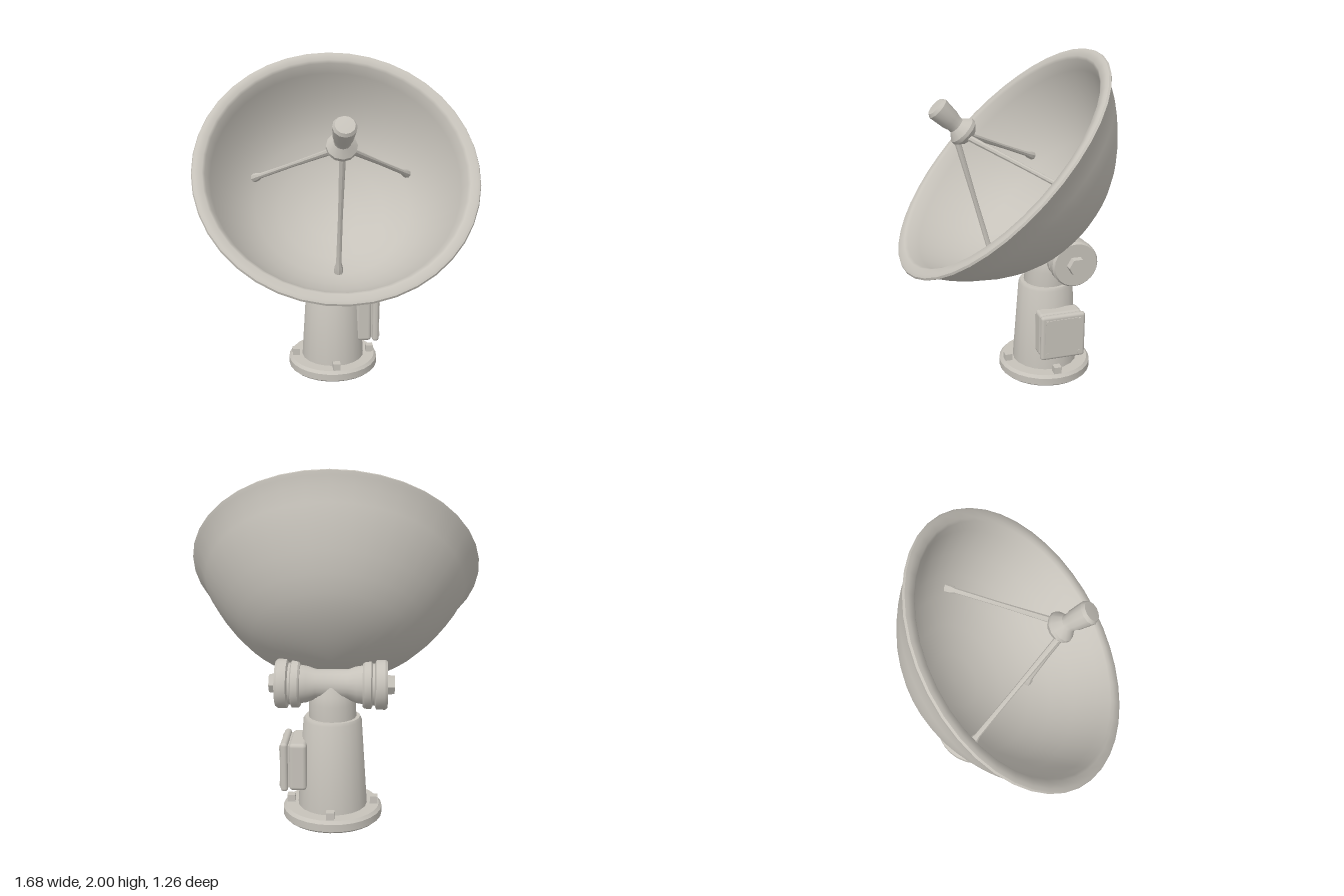
import * as THREE from 'three';
import { toCreasedNormals } from 'three/addons/utils/BufferGeometryUtils.js';
import { RoundedBoxGeometry } from 'three/addons/geometries/RoundedBoxGeometry.js';

const grey = new THREE.MeshStandardMaterial({ color: 0xc6c2ba });
grey.name = 'warm grey paint';

function add(parent, name, geometry, x = 0, y = 0, z = 0) {
  const mesh = new THREE.Mesh(geometry, grey);
  mesh.name = name;
  mesh.position.set(x, y, z);
  parent.add(mesh);
  return mesh;
}

// Profile of [radius, height] pairs spun about y, with sharp edges kept
function turned(profile, sides, crease = 0.6) {
  const points = profile.map(([r, h]) => new THREE.Vector2(r, h));
  return toCreasedNormals(new THREE.LatheGeometry(points, sides), crease);
}

function rod(parent, name, from, to, profile) {
  const dir = to.clone().sub(from);
  const length = dir.length();
  const mesh = add(parent, name, turned(profile.map(([r, t]) => [r, t * length]), 8), ...from);
  mesh.quaternion.setFromUnitVectors(new THREE.Vector3(0, 1, 0), dir.normalize());
  return mesh;
}

export function createModel() {
  const model = new THREE.Group();
  model.name = 'satellite dish';

  // Pedestal
  const pedestal = new THREE.Group();
  pedestal.name = 'pedestal';
  pedestal.position.z = -0.27;
  model.add(pedestal);
  add(pedestal, 'baseFlange', turned([
    [0, 0], [0.275, 0], [0.288, 0.012], [0.288, 0.055], [0.272, 0.072], [0, 0.072],
  ], 28));
  add(pedestal, 'column', turned([
    [0.202, 0.06], [0.168, 0.585], [0.158, 0.602], [0, 0.602],
  ], 20));
  for (let i = 0; i < 4; i++) {
    const a = i * Math.PI / 2;
    add(pedestal, 'baseBolt', new THREE.BoxGeometry(0.046, 0.05, 0.046),
      Math.sin(a) * 0.242, 0.09, Math.cos(a) * 0.242);
  }

  // Neck leans back toward the hinge as it rises
  const neck = turned([[0.137, 0.59], [0.135, 0.69], [0.125, 0.75], [0.1, 0.81], [0, 0.83]], 20, 0.9);
  const np = neck.attributes.position;
  for (let i = 0; i < np.count; i++) {
    np.setZ(i, np.getZ(i) - Math.max(0, np.getY(i) - 0.66) * 0.4);
  }
  add(pedestal, 'neck', neck);

  // Equipment box on the left side of the column
  const box = new THREE.Group();
  box.name = 'equipmentBox';
  box.position.set(0, 0.335, -0.02);
  pedestal.add(box);
  add(box, 'boxBody', new RoundedBoxGeometry(0.1, 0.28, 0.27, 2, 0.022), 0.19, 0, 0);
  add(box, 'boxGasket', new THREE.BoxGeometry(0.04, 0.25, 0.24), 0.24, 0, 0);
  add(box, 'boxCover', new RoundedBoxGeometry(0.042, 0.29, 0.28, 2, 0.018), 0.268, 0, 0);
  add(box, 'coverPanel', new THREE.BoxGeometry(0.006, 0.24, 0.23), 0.29, 0, 0);
  for (const sy of [-1, 1]) for (const sz of [-1, 1]) {
    const screw = add(box, 'coverScrew', new THREE.CylinderGeometry(0.014, 0.014, 0.012, 6),
      0.291, sy * 0.107, sz * 0.102);
    screw.rotation.z = Math.PI / 2;
  }

  // Hinge: waisted tube with a flanged drum and hexagonal bolt at each end
  const hinge = new THREE.Group();
  hinge.name = 'tiltHinge';
  hinge.position.set(0, 0.81, -0.344);
  model.add(hinge);
  const tube = add(hinge, 'hingeTube', turned([
    [0.115, -0.2], [0.105, -0.14], [0.085, -0.09], [0.085, 0.09], [0.105, 0.14], [0.115, 0.2],
  ], 20, 0.9));
  tube.rotation.z = -Math.PI / 2;
  for (const side of [-1, 1]) {
    const drum = add(hinge, side > 0 ? 'leftDrum' : 'rightDrum', turned([
      [0, 0.175], [0.125, 0.175], [0.136, 0.185], [0.136, 0.222], [0.118, 0.23], [0.118, 0.242],
      [0.14, 0.25], [0.14, 0.3], [0.13, 0.314], [0, 0.314],
    ], 24));
    drum.rotation.z = -side * Math.PI / 2;
    const bolt = add(hinge, 'hingeBolt', toCreasedNormals(
      new THREE.CylinderGeometry(0.053, 0.057, 0.045, 6), 0.4), side * 0.33, 0, 0);
    bolt.rotation.z = -side * Math.PI / 2;
  }

  // Reflector: closed shell, back surface then rolled rim then inner bowl
  const dish = new THREE.Group();
  dish.name = 'dish';
  dish.position.set(0, 1.4, 0.045);
  dish.rotation.x = 0.798;
  model.add(dish);
  add(dish, 'reflector', turned([
    [0, -0.635], [0.18, -0.617], [0.35, -0.56], [0.45, -0.5], [0.53, -0.435], [0.61, -0.35],
    [0.69, -0.246], [0.75, -0.15], [0.79, -0.07], [0.825, -0.03], [0.838, -0.012], [0.832, 0],
    [0.815, 0.006], [0.775, 0.002], [0.76, -0.012],
    [0.735, -0.08], [0.66, -0.225], [0.575, -0.34], [0.48, -0.43], [0.33, -0.52], [0.17, -0.57], [0, -0.585],
  ], 40, 0.7));

  // Feed horn on the dish axis
  add(dish, 'feedHorn', turned([
    [0, 0.215], [0.055, 0.215], [0.088, 0.25], [0.088, 0.272], [0.05, 0.315], [0.05, 0.335],
    [0.058, 0.36], [0.068, 0.46], [0.056, 0.478], [0, 0.482],
  ], 12), 0, 0, 0.012);

  // Three struts from the bowl to the feed
  const strut = [[0, 0], [0.027, 0], [0.025, 0.05], [0.016, 0.09], [0.014, 0.5], [0.019, 1]];
  const feet = { lowerStrut: [0, 0.77, 0.07], leftStrut: [0.48, 1.26, -0.335], rightStrut: [-0.48, 1.26, -0.335] };
  for (const [name, foot] of Object.entries(feet)) {
    const head = new THREE.Vector3(foot[0] * 0.08, 1.555, foot[0] ? 0.235 : 0.285);
    rod(model, name, new THREE.Vector3(...foot), head, strut);
  }
  return model;
}
